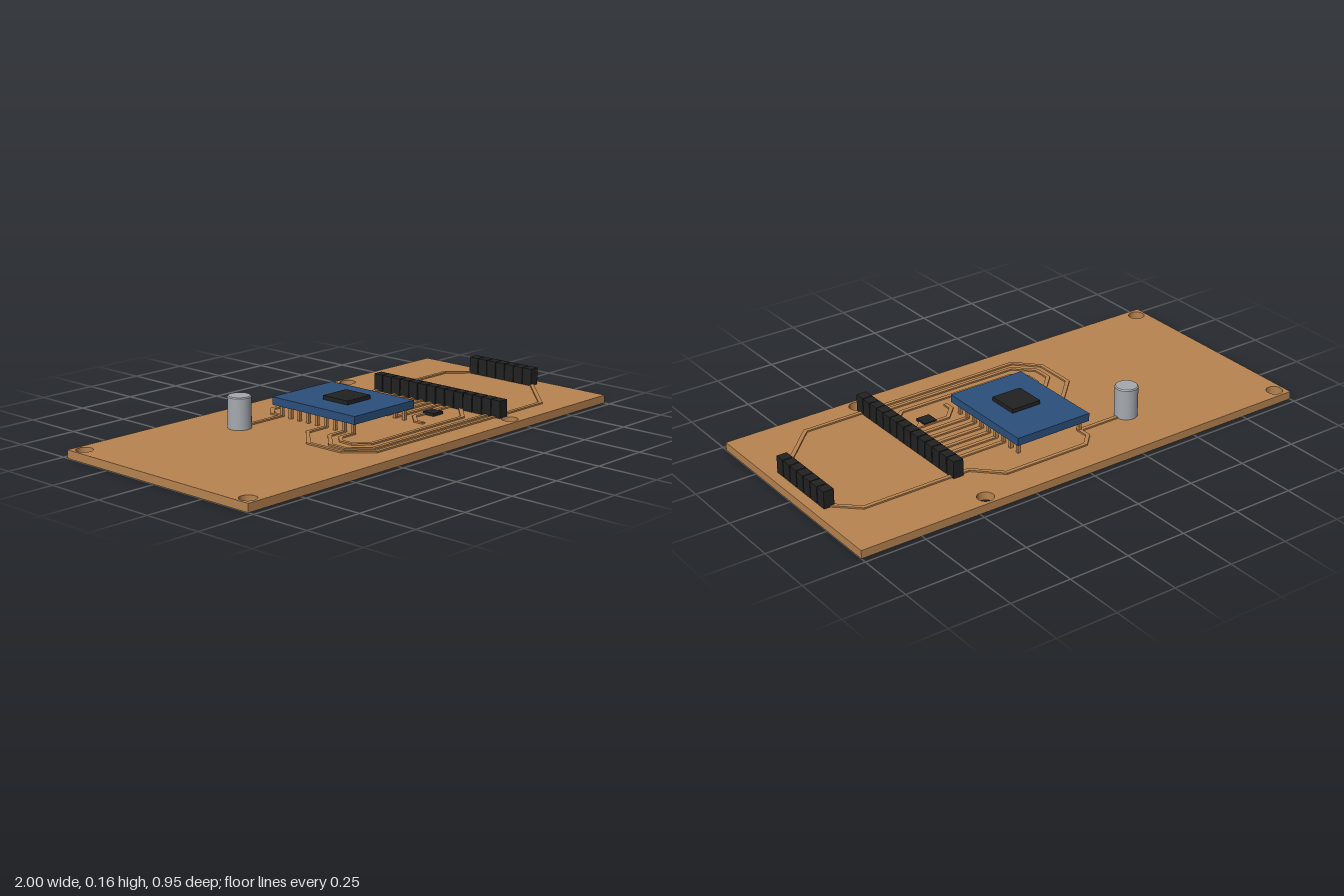
import * as THREE from 'three';

const mat = (name, color) => {
  const m = new THREE.MeshStandardMaterial({ color });
  m.name = name;
  return m;
};

const BOARD_TOP = 0.033;
const PITCH = 0.0473;

export function createModel() {
  const copper = mat('copper brown', 0xb98450);
  const blue = mat('module blue', 0x2b4f7c);
  const black = mat('plastic black', 0x222222);
  const silver = mat('can silver', 0xa6aab0);

  const root = new THREE.Group();
  root.name = 'circuitBoard';

  const add = (parent, name, geometry, material, x = 0, y = 0, z = 0) => {
    const mesh = new THREE.Mesh(geometry, material);
    mesh.name = name;
    mesh.position.set(x, y, z);
    parent.add(mesh);
    return mesh;
  };
  const group = (name) => {
    const g = new THREE.Group();
    g.name = name;
    root.add(g);
    return g;
  };

  // Extrudes an (x, -z) shape upwards
  const slab = (shape, depth) =>
    new THREE.ExtrudeGeometry(shape, { depth, bevelEnabled: false, curveSegments: 16 }).rotateX(-Math.PI / 2);

  // Board with four mounting holes
  const outline = new THREE.Shape([[-1, -0.475], [1, -0.475], [1, 0.475], [-1, 0.475]]
    .map(([x, y]) => new THREE.Vector2(x, y)));
  for (const x of [-0.957, 0.445]) {
    for (const y of [-0.43, 0.43]) {
      outline.holes.push(new THREE.Path().absarc(x, y, 0.033, 0, Math.PI * 2, true));
    }
  }
  add(root, 'board', slab(outline, BOARD_TOP), copper);

  // Raised trace: a mitred ribbon along [x, z] points
  const traces = group('traces');
  const trace = (path, width = 0.016) => {
    const p = path.map(([x, z]) => new THREE.Vector2(x, -z));
    const left = [], right = [];
    p.forEach((pt, i) => {
      const a = pt.clone().sub(p[Math.max(i - 1, 0)]).normalize();
      const b = p[Math.min(i + 1, p.length - 1)].clone().sub(pt).normalize();
      const dir = a.clone().add(b).normalize();
      const edge = i > 0 ? a : b;
      const offset = new THREE.Vector2(-dir.y, dir.x).multiplyScalar(width / 2 / dir.dot(edge));
      left.push(pt.clone().add(offset));
      right.unshift(pt.clone().sub(offset));
    });
    add(traces, 'trace', slab(new THREE.Shape([...left, ...right]), 0.006), copper, 0, BOARD_TOP, 0);
  };

  // Straight traces from the module to the long header
  for (let i = -3; i <= 2; i++) trace([[0.157, i * PITCH], [0.44, i * PITCH]]);
  // Capacitor lead, and the line behind the module to the short header
  trace([[-0.355, -0.24], [-0.13, -0.24]]);
  trace([[-0.13, -0.237], [-0.13, -0.29], [-0.08, -0.34], [0.285, -0.34],
    [0.385, -0.24], [0.84, -0.24], [0.935, -0.15]]);
  // Three nested loops in front of the module
  trace([[-0.13, 0], [-0.23, 0], [-0.34, 0.11], [-0.34, 0.28], [-0.255, 0.37], [0.715, 0.37], [0.935, 0.15]]);
  trace([[-0.13, 0.095], [-0.21, 0.095], [-0.3, 0.185], [-0.3, 0.26], [-0.225, 0.333], [0.44, 0.333]]);
  trace([[-0.13, 0.142], [-0.2, 0.142], [-0.238, 0.18], [-0.238, 0.237], [-0.19, 0.285],
    [0.335, 0.285], [0.44, 0.185]]);
  // Links to the small chip
  trace([[0.163, 0.235], [0.163, 0.195], [0.215, 0.142], [0.44, 0.142]]);
  trace([[0.31, 0.178], [0.35, 0.142]]);

  // Raised module with a chip and two rows of legs
  const module = group('module');
  add(module, 'modulePlate', new THREE.BoxGeometry(0.335, 0.032, 0.436), blue, 0.013, 0.096, -0.048);
  add(module, 'moduleChip', new THREE.BoxGeometry(0.13, 0.016, 0.13), black, 0.015, 0.12, -0.03);
  const leg = new THREE.BoxGeometry(0.013, 0.047, 0.013);
  for (const x of [-0.13, 0.157]) {
    for (let i = -5; i <= 3; i++) add(module, 'leg', leg, copper, x, 0.0565, i * PITCH);
  }

  // Socket headers made of repeated blocks
  const block = new THREE.BoxGeometry(0.043, 0.07, PITCH - 0.004);
  const header = (name, x, first, last) => {
    const g = group(name);
    for (let i = first; i <= last; i++) add(g, 'headerBlock', block, black, x, BOARD_TOP + 0.035, i * PITCH);
    const length = (last - first + 1) * PITCH - 0.004;
    add(g, 'headerCore', new THREE.BoxGeometry(0.03, 0.062, length), black,
      x, BOARD_TOP + 0.031, (first + last) / 2 * PITCH);
  };
  header('longHeader', 0.443, -5, 8);
  header('shortHeader', 0.936, -3, 3);

  // Small chip and capacitor can with a softened rim
  add(root, 'smallChip', new THREE.BoxGeometry(0.056, 0.012, 0.054), black, 0.298, BOARD_TOP + 0.006, 0.165);
  const profile = [[0, 0], [0.046, 0], [0.046, 0], [0.046, 0.123], [0.046, 0.123], [0.042, 0.127], [0.042, 0.127], [0, 0.127]]
    .map(([r, y]) => new THREE.Vector2(r, y));
  // Separate lathe bands keep the edges crisp
  const can = group('capacitor');
  can.position.set(-0.355, BOARD_TOP, -0.24);
  for (let i = 0; i < profile.length; i += 2) {
    add(can, 'canBand', new THREE.LatheGeometry([profile[i], profile[i + 1]], 32), silver);
  }

  return root;
}
